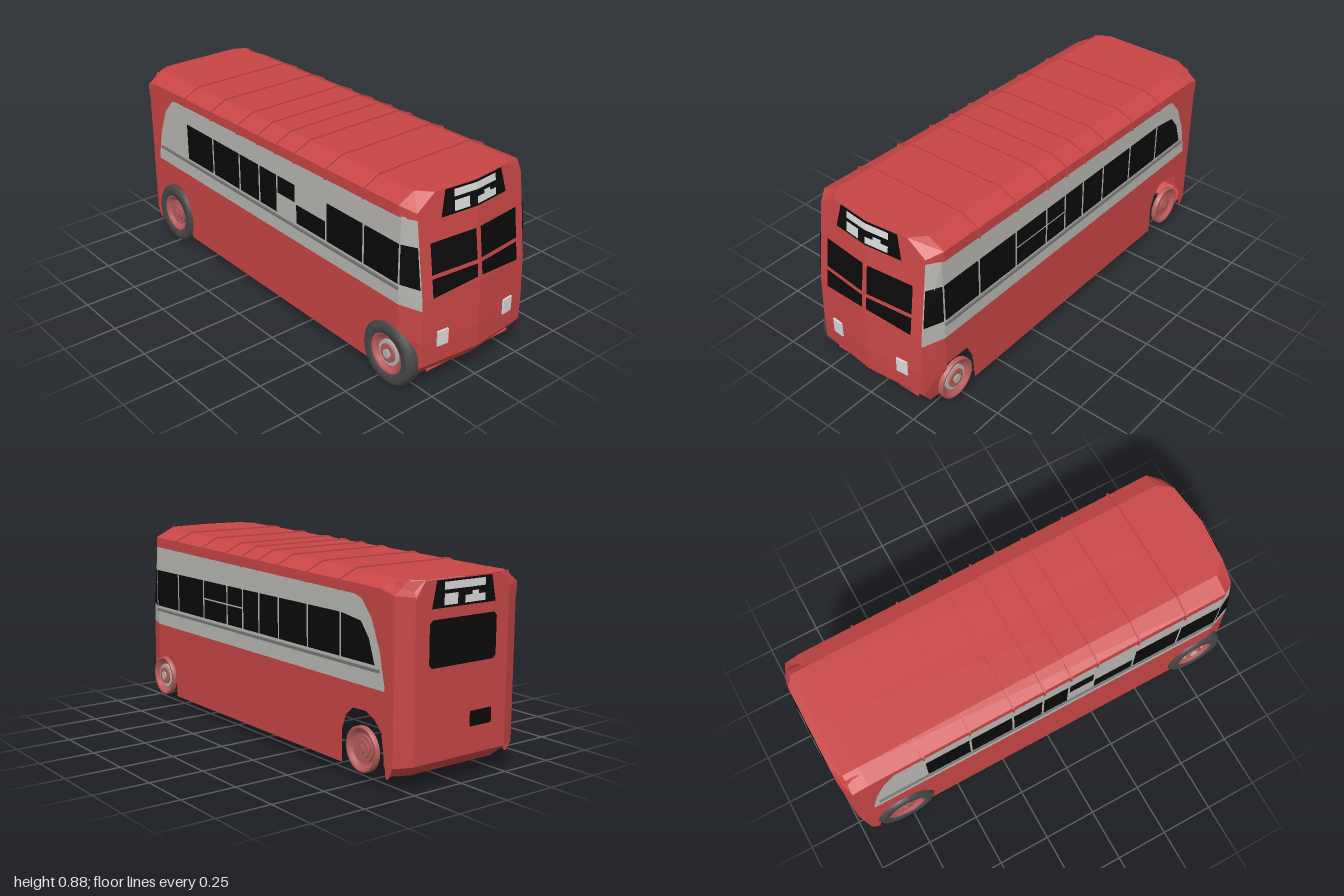
import * as THREE from 'three';

const flat = (name, color, double = true) => {
  const m = new THREE.MeshStandardMaterial({ color });
  m.name = name;
  if (double) m.side = THREE.DoubleSide;
  return m;
};

export function createModel() {
  const bus = new THREE.Group();
  bus.name = 'bus';
  const red = flat('red paint', 0xc94646);
  const grey = flat('grey band', 0xb9b8b4);
  const black = flat('dark glass', 0x0a0a0a);
  const white = flat('white', 0xdcdcdc);
  const rubber = flat('tyre rubber', 0x484848);
  const trim = flat('grey trim', 0x777777);
  const rimRed = flat('rim red', 0xb95c5c);
  const V = (x, y, z) => new THREE.Vector3(x, y, z);

  function add(name, geo, mat, parent = bus) {
    const mesh = new THREE.Mesh(geo, mat);
    mesh.name = name;
    parent.add(mesh);
    return mesh;
  }

  // Faceted surface through rows of points
  function loft(name, mat, rows) {
    const n = rows[0].length, index = [];
    for (let i = 0; i < rows.length - 1; i++)
      for (let j = 0; j < n - 1; j++) {
        const a = i * n + j, d = a + n;
        index.push(a, a + 1, d + 1, a, d + 1, d);
      }
    const g = new THREE.BufferGeometry().setFromPoints(rows.flat());
    g.setIndex(index);
    const f = g.toNonIndexed();
    f.computeVertexNormals();
    return add(name, f, mat);
  }

  // Flat outline placed on a surface by a mapping rule
  function panel(name, mat, pts, map, flip = false) {
    const g = new THREE.ShapeGeometry(new THREE.Shape(pts.map(p => new THREE.Vector2(...p))));
    const pos = g.attributes.position;
    for (let i = 0; i < pos.count; i++) {
      const p = map(pos.getX(i), pos.getY(i));
      pos.setXYZ(i, p.x, p.y, p.z);
    }
    if (flip) g.setIndex([...g.index.array].reverse());
    g.computeVertexNormals();
    return add(name, g, mat);
  }
  const rect = (x0, x1, y0, y1) => [[x0, y0], [x1, y0], [x1, y1], [x0, y1]];

  // Front face: slight prow, leaning back toward the roof
  const profile = [[0.07, 0.94], [0.085, 0.958], [0.14, 0.997], [0.25, 0.998], [0.45, 0.99], [0.885, 0.932]];
  function frontZ(x, y) {
    let k = 0;
    while (k < profile.length - 2 && y > profile[k + 1][0]) k++;
    const [y0, z0] = profile[k], [y1, z1] = profile[k + 1];
    return z0 + (z1 - z0) * (y - y0) / (y1 - y0) - 0.03 * Math.abs(x) / 0.29;
  }
  const onFront = off => (x, y) => V(x, y, frontZ(x, y) + off);
  loft('frontPanel', red, [[0.07, 0.28], [0.085, 0.285], [0.14, 0.29], [0.25, 0.29], [0.45, 0.29], [0.82, 0.29], [0.885, 0.2]]
    .map(([y, w]) => [-w, 0, w].map(x => V(x, y, frontZ(x, y)))));

  for (const s of [-1, 1]) {
    const m = pts => pts.map(([x, y]) => [s * x, y]);
    panel('windscreenUpper', black, m(rect(0.012, 0.24, 0.55, 0.685)), onFront(0.005));
    panel('windscreenLower', black, m([[0.012, 0.474], [0.24, 0.45], [0.24, 0.532], [0.012, 0.532]]), onFront(0.005));
    const lamp = add('headlamp', new THREE.BoxGeometry(0.055, 0.07, 0.008), white);
    lamp.position.set(s * 0.188, 0.255, frontZ(0.188, 0.255) + 0.003);
    lamp.rotation.y = s * 0.1;
  }

  // Destination signs, front and rear
  const bump = [[0, 0.785], [0.115, 0.785], [0.115, 0.815], [0.078, 0.815], [0.078, 0.83], [0.04, 0.83], [0.04, 0.815], [0, 0.815]];
  function sign(name, map, flip) {
    for (const s of [-1, 1]) // halves follow the crease
      panel(name + 'Board', black, [[0, 0.775], [s * 0.18, 0.775], [s * 0.155, 0.884], [0, 0.884]], map(0.004), flip);
    for (const s of [-1, 1])
      panel(name + 'Strip', white, rect(0, s * 0.115, 0.845, 0.876), map(0.007), flip);
    panel(name + 'PlateA', white, rect(-0.115, -0.04, 0.785, 0.83), map(0.007), flip);
    panel(name + 'PlateB', white, bump, map(0.007), flip);
  }
  sign('frontSign', onFront, false);
  const onRear = off => (x, y) => V(x, y, -0.988 - off);
  sign('rearSign', off => (x, y) => V(-x * 0.95, y - 0.052, -0.988 - off), false);
  panel('rearWindow', black, [[-0.165, 0.49], [0.165, 0.49], [0.18, 0.505], [0.18, 0.665], [0.165, 0.68], [-0.165, 0.68], [-0.18, 0.665], [-0.18, 0.505]], onRear(0.004), true);
  panel('rearPlate', black, rect(-0.165, -0.045, 0.225, 0.29), onRear(0.004), true);

  // Rear shell with chamfered corners and tucked-in bottom edge
  loft('rearPanel', red, [[0.06, 0.05, 0.03], [0.11, 0, 0], [0.76, 0, 0], [0.835, 0, 0.05]].map(([y, dz, dx]) =>
    [[0.325, -0.9], [0.325, -0.955], [0.25, -0.988], [-0.25, -0.988], [-0.325, -0.955], [-0.325, -0.9]]
      .map(([x, z]) => V(x - Math.sign(x) * dx, y, z + (z < -0.92 ? dz : 0)))));

  // Roof from cross-sections, lower toward the rear
  const roofTop = z => 0.862 + 0.024 * z;
  const section = (w, yb, ys, t, yt) => [[-w, yb], [-w, ys], [-t, yt], [0, yt], [t, yt], [w, ys], [w, yb]];
  const roofSection = (z, o = 0) =>
    section(0.331 + o, 0.78 + 0.02 * z, roofTop(z) - 0.037 + o * 0.5, 0.25 + o * 0.5, roofTop(z) + o);
  const rows = [section(0.29, 0.79, 0.82, 0.2, 0.885).map(([x, y]) => V(x, y, frontZ(x, y)))];
  for (const z of [0.85, -0.88]) rows.push(roofSection(z).map(([x, y]) => V(x, y, z)));
  rows.push(section(0.329, 0.73, 0.785, 0.25, 0.84).map(([x, y]) => V(x, y, -0.955)));
  rows.push(section(0.25, 0.72, 0.775, 0.2, 0.837).map(([x, y]) => V(x, y, -0.988)));
  loft('roof', red, rows);

  // Roof ribs
  const bays = [0.65, 0.415, 0.21, 0.08, -0.05, -0.2, -0.41, -0.63];
  for (const z of bays) {
    const ring = [...roofSection(z, 0.007), ...roofSection(z).reverse()];
    const g = new THREE.ExtrudeGeometry(new THREE.Shape(ring.map(p => new THREE.Vector2(...p))), { depth: 0.008, bevelEnabled: false });
    add('roofRib', g, red).position.z = z - 0.004;
  }

  // Side walls, drawn as (z, y) outlines
  const bandCurve = [[-0.7, 0.768], [-0.76, 0.75], [-0.82, 0.68], [-0.87, 0.56], [-0.905, 0.405]];
  const lowerWall = [[0.86, 0.405], [0.86, 0.262], [0.735, 0.262], [0.705, 0.2], [0.69, 0.06], [-0.64, 0.06], [-0.64, 0.2],
    [-0.665, 0.265], [-0.71, 0.303], [-0.79, 0.306], [-0.84, 0.285], [-0.885, 0.24], [-0.915, 0.06], [-0.93, 0.06], [-0.955, 0.11], [-0.955, 0.405]];
  for (const s of [-1, 1]) {
    const side = off => (z, y) => V(s * (0.325 + off), y, z);
    const wall = (name, mat, pts, off = 0) => panel(name, mat, pts, side(off), s > 0);
    wall('lowerSide', red, lowerWall);
    wall('greyBand', grey, [[0.86, 0.405], [0.86, 0.81], ...bandCurve]);
    wall('rearQuarter', red, [...bandCurve, [-0.955, 0.405], [-0.955, 0.78], [-0.7, 0.8]]);
    add('sideRail', new THREE.BoxGeometry(0.01, 0.012, 1.73), trim).position.set(s * 0.328, 0.48, -0.005);

    // Tapered front corner
    const corner = (t, y, off = 0) => {
      const xo = y < 0.25 ? 0.325 - (0.25 - y) * 0.18 : 0.325;
      const xi = y < 0.14 ? 0.285 : 0.29;
      return V(s * (xi + (xo - xi) * t + off), y, frontZ(xi, y) * (1 - t) + 0.86 * t + off * 0.5);
    };
    const strip = (name, mat, ys, t0 = 0, t1 = 1, off = 0) => loft(name, mat,
      ys.map(y => (s > 0 ? [t0, t1] : [t1, t0]).map(t => corner(t, y, off))));
    strip('frontCornerLower', red, [0.085, 0.14, 0.25, 0.405]);
    strip('frontCornerBand', grey, [0.405, 0.45, 0.8]);
    strip('frontCornerTop', red, [0.8, 0.82]);
    strip('cornerWindow', black, [0.5, 0.68], 0.04, 0.96, 0.004);

    // Side windows; sliding panes in the two middle bays
    const edges = [0.862, ...bays];
    for (let i = 0; i < edges.length - 1; i++) {
      const a = edges[i] - 0.005, b = edges[i + 1] + 0.005;
      const sliding = i === 2 || i === 3;
      if (!sliding) wall('sideWindow', black, rect(b, a, 0.5, 0.68), 0.004);
      if (sliding && (s > 0 || i === 3)) wall('slidingPaneUpper', black, rect(b, a, 0.597, 0.68), 0.004);
      if (sliding && (s > 0 || i === 2)) wall('slidingPaneLower', black, rect(b, a, 0.5, 0.59), 0.004);
    }
    if (s > 0) wall('rearSideWindow', black, [[-0.635, 0.5], [-0.635, 0.68], [-0.76, 0.663], [-0.81, 0.6], [-0.845, 0.5]], 0.004);

    // Wheels: tyres on the right side, bare rims on the left
    for (const z of [0.81, -0.77]) {
      const wheel = new THREE.Group();
      wheel.name = z > 0 ? 'frontWheel' : 'rearWheel';
      wheel.position.set(s * 0.3, 0.145, z);
      wheel.rotation.z = -s * Math.PI / 2;
      bus.add(wheel);
      const lathe = (name, pts, mat) =>
        add(name, new THREE.LatheGeometry(pts.map(p => new THREE.Vector2(...p)), 32), mat, wheel);
      if (s < 0) lathe('tyre', [[0.09, -0.04], [0.125, -0.04], [0.145, -0.025], [0.145, 0.025], [0.13, 0.04], [0.095, 0.038], [0.09, 0.02]], rubber);
      lathe('rim', [[0, 0.012], [0.06, 0.012], [0.075, 0.022], [0.085, 0.035], [0.095, 0.033], [0.095, 0.012]], rimRed);
      const disc = (name, r, y, h, mat) =>
        add(name, new THREE.CylinderGeometry(r, r, h, 24), mat, wheel).position.y = y;
      disc('hubRing', 0.058, 0.016, 0.012, z > 0 ? grey : rimRed);
      disc('hub', 0.042, 0.022, 0.014, rimRed);
      disc('hubCap', 0.02, 0.028, 0.014, z > 0 ? grey : rimRed);
    }
  }

  // Cab floor and splash panel between the front wheels
  loft('cabFloor', red, [[0.95, 0.09], [0.9, 0.28], [0.68, 0.29], [0.6, 0.4]].map(([z, y]) => [V(-0.24, y, z), V(0.24, y, z)]));
  loft('wheelWell', grey, [[0.92, 0.1], [0.86, 0.28], [0.7, 0.28], [0.69, 0.14]].map(([z, y]) => [V(-0.25, y, z), V(-0.18, y + 0.02, z)]));
  return bus;
}
